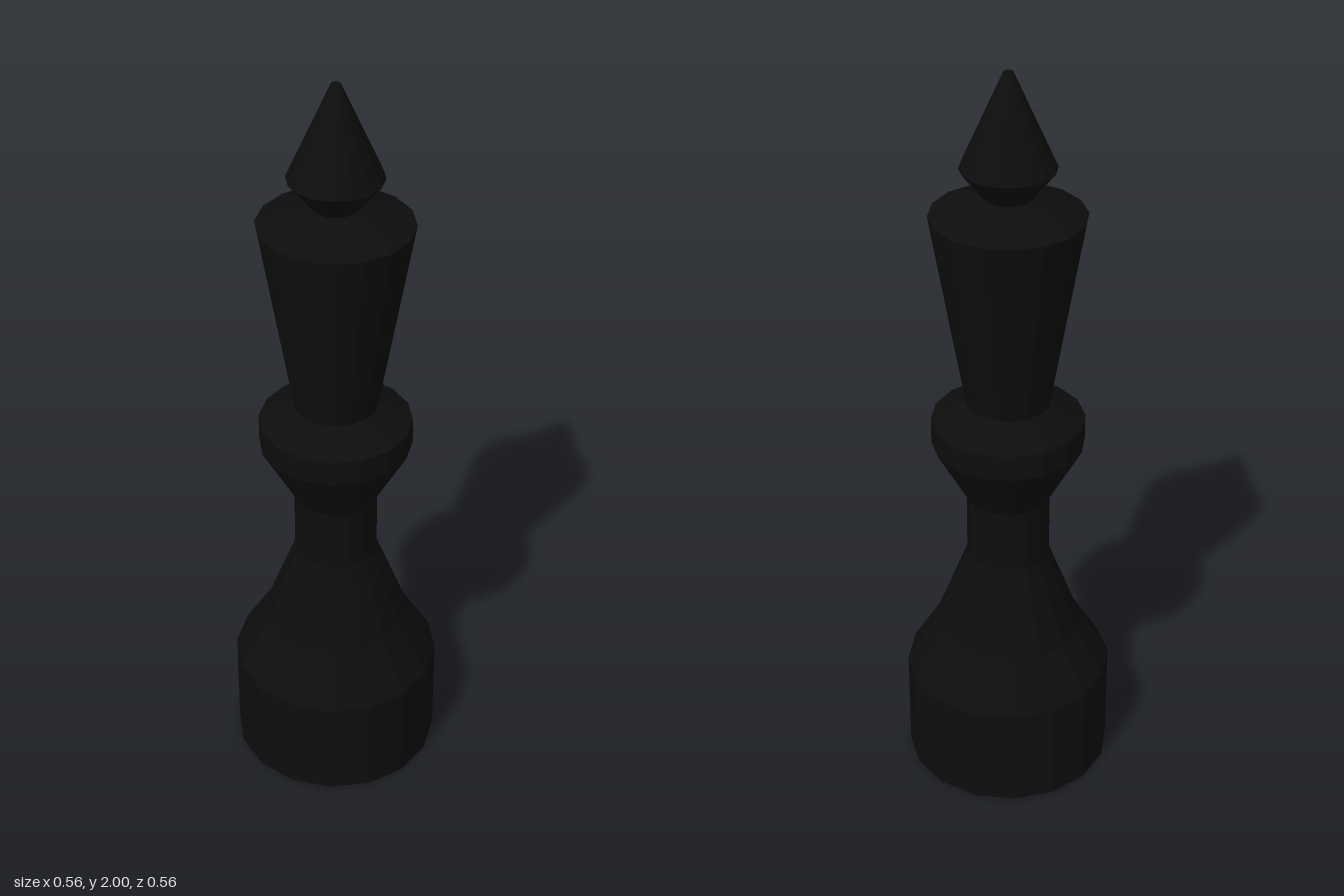
import * as THREE from 'three';

const SIDES = 16;

export function createModel() {
  const black = new THREE.MeshStandardMaterial({ color: 0x0d0d0d, flatShading: true });
  black.name = 'black';
  const group = new THREE.Group();
  group.name = 'chessPiece';

  // Turned sections, each a [radius, height] profile from bottom to top
  const sections = {
    base: [[0, 0], [0.278, 0], [0.278, 0.285], [0.2, 0.415]],
    stem: [[0.2, 0.415], [0.11, 0.65], [0.11, 0.825]],
    collar: [[0.11, 0.825], [0.2, 0.99], [0.2, 1.06], [0.11, 1.11]],
    head: [[0.11, 1.11], [0.198, 1.633], [0.06, 1.68]],
    finial: [[0.06, 1.68], [0.121, 1.757], [0.012, 2], [0, 2]],
  };

  for (const [name, profile] of Object.entries(sections)) {
    const points = profile.map(([r, y]) => new THREE.Vector2(r, y));
    const mesh = new THREE.Mesh(new THREE.LatheGeometry(points, SIDES), black);
    mesh.name = name;
    group.add(mesh);
  }
  return group;
}
